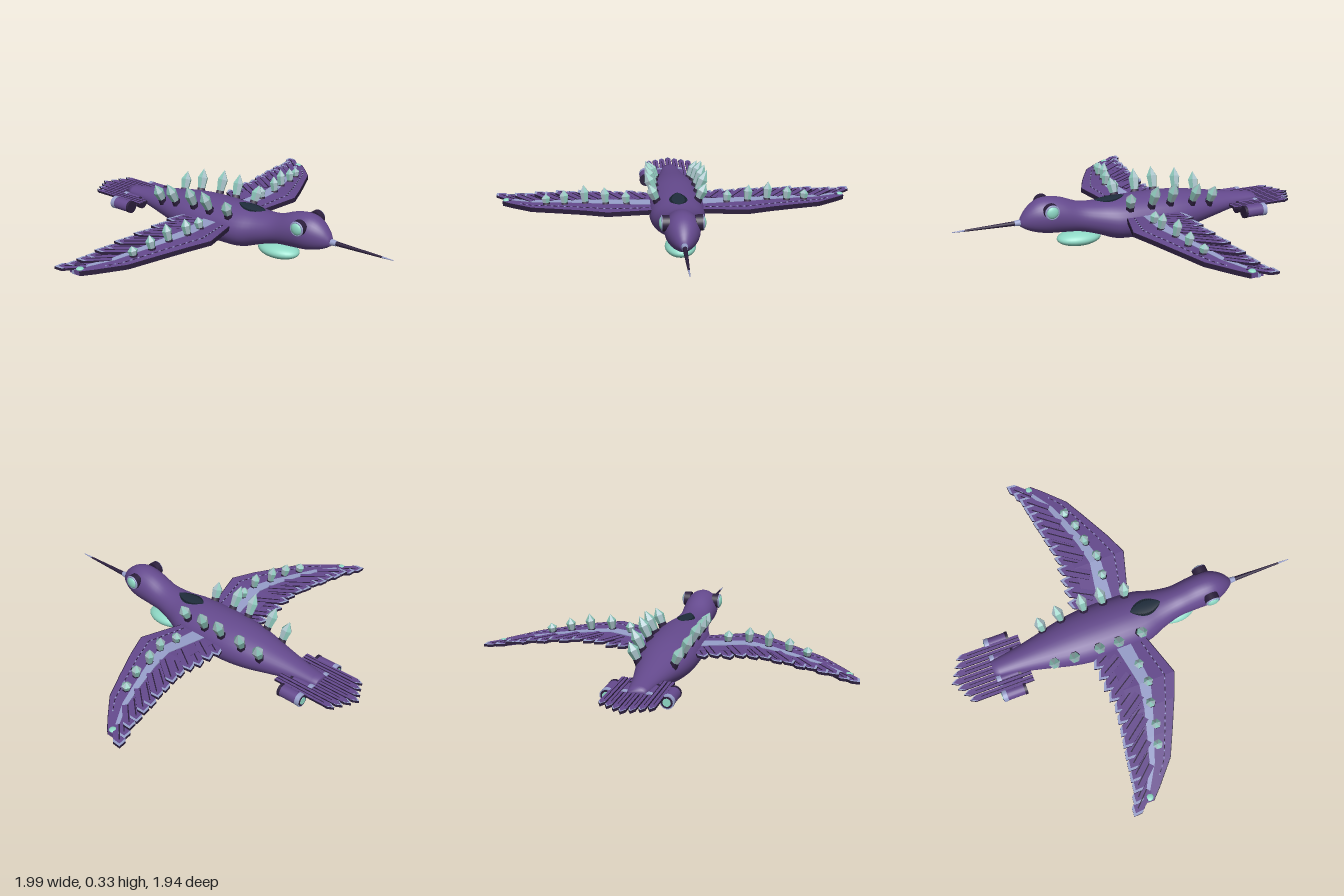
import * as THREE from 'three';

const mat = (name, color) => Object.assign(new THREE.MeshStandardMaterial({ color }), { name });
const purple = mat('purple plumage', 0x654a8e);
const lavender = mat('lavender trim', 0x98a0cc);
const mint = mat('mint glow', 0x8fd9c6);
const crystalMat = mat('teal crystal', 0x8cc6ba);
const paleCrystal = mat('pale crystal', 0xa6bfc6);
const dark = mat('dark violet', 0x2c1f3d);
const glass = mat('dark glass', 0x1f2d3c);
const UP = new THREE.Vector3(0, 1, 0);

// Body stations, beak end to tail: z, top, bottom, half width
const STATIONS = [
  [0.62, 0.19, 0.15, 0.018], [0.59, 0.235, 0.13, 0.045], [0.54, 0.275, 0.11, 0.073],
  [0.48, 0.29, 0.097, 0.089], [0.4, 0.279, 0.09, 0.088], [0.3, 0.242, 0.08, 0.086],
  [0.2, 0.232, 0.05, 0.108], [0.1, 0.236, 0.016, 0.143], [-0.03, 0.24, 0.01, 0.151],
  [-0.2, 0.236, 0.011, 0.15], [-0.33, 0.222, 0.026, 0.132], [-0.46, 0.2, 0.053, 0.1],
  [-0.6, 0.176, 0.084, 0.068], [-0.74, 0.156, 0.108, 0.045],
];
const heights = new THREE.CatmullRomCurve3(STATIONS.map(([z, a, b]) => new THREE.Vector3(z, a, b)), false, 'catmullrom');
const widths = new THREE.CatmullRomCurve3(STATIONS.map(([z, , , w]) => new THREE.Vector3(z, w, 0)), false, 'catmullrom');

// Elliptical body section at a given z
function section(z) {
  let lo = 0, hi = 1;
  for (let i = 0; i < 30; i++) {
    const mid = (lo + hi) / 2;
    if (heights.getPoint(mid).x > z) lo = mid; else hi = mid;
  }
  const h = heights.getPoint(lo);
  return { cy: (h.y + h.z) / 2, ry: (h.y - h.z) / 2, rx: widths.getPoint(lo).y };
}

// Skin closed rings of [x, y, z] points and cap both ends
function loft(rings, smooth, flip = false) {
  const n = rings[0].length, last = (rings.length - 1) * n, index = [];
  const tri = (a, b, c) => (flip ? index.push(a, c, b) : index.push(a, b, c));
  for (let i = 0; i < rings.length - 1; i++) {
    for (let k = 0; k < n; k++) {
      const a = i * n + k, b = i * n + ((k + 1) % n);
      tri(a, a + n, b);
      tri(b, a + n, b + n);
    }
  }
  for (let k = 1; k < n - 1; k++) {
    tri(0, k, k + 1);
    tri(last, last + k + 1, last + k);
  }
  let g = new THREE.BufferGeometry();
  g.setAttribute('position', new THREE.Float32BufferAttribute(rings.flat(2), 3));
  g.setIndex(index);
  if (!smooth) g = g.toNonIndexed();
  g.computeVertexNormals();
  return g;
}

function add(parent, name, geometry, material, x = 0, y = 0, z = 0) {
  const m = new THREE.Mesh(geometry, material);
  m.name = name;
  m.position.set(x, y, z);
  parent.add(m);
  return m;
}

// Flat outline lying in the xz plane, its second coordinate pointing backward
function plate(points, depth) {
  const shape = new THREE.Shape(points.map(([x, y]) => new THREE.Vector2(x, y)));
  return new THREE.ExtrudeGeometry(shape, { depth, bevelEnabled: false }).rotateX(-Math.PI / 2);
}

// Feather with dark cut edges, a thin pale chevron at the tip and a dark shaft
function feather(name, w, len, tip) {
  const g = new THREE.Group(), h = w / 2, s = len - tip, rim = w * 0.22;
  g.name = name;
  add(g, 'vane', plate([[-h, 0], [h, 0], [h, s], [0, len - 0.002], [-h, s]], 0.012), [purple, dark]);
  add(g, 'featherTip', plate([[-h, s - rim * 1.5], [0, len - rim * 1.5], [h, s - rim * 1.5], [h, s], [0, len], [-h, s]], 0.014), [lavender, dark], 0, -0.001);
  add(g, 'shaft', new THREE.BoxGeometry(w * 0.1, 0.015, s * 0.9), dark, 0, 0.006, -s * 0.45);
  return g;
}

// Six-sided crystal with alternating facets, growing from a dark socket
function crystal(name, base, dir, r, h, socket) {
  const g = new THREE.Group();
  g.name = name;
  const profile = [[0.6, 0], [1, 0.62], [0, 1]].map(([x, y]) => new THREE.Vector2(x * r, y * h));
  const geo = new THREE.LatheGeometry(profile, 6).toNonIndexed();
  geo.computeVertexNormals();
  const perFacet = geo.attributes.position.count / 6;
  for (let i = 0; i < 6; i++) geo.addGroup(i * perFacet, perFacet, i % 2);
  add(g, 'shard', geo, [crystalMat, paleCrystal]);
  add(g, 'socket', new THREE.CylinderGeometry(r * 0.75, r * 0.85, socket, 6), dark, 0, socket * 0.3);
  g.position.set(...base);
  g.quaternion.setFromUnitVectors(UP, new THREE.Vector3(...dir).normalize());
  return g;
}

// Wing stations: x, height, leading edge, stripe front, stripe rear, trailing edge
const WING = [
  [0.08, 0.145, 0.06, -0.015, -0.1, -0.16], [0.37, 0.165, 0.143, 0.01, -0.052, -0.14],
  [0.5, 0.16, 0.09, -0.027, -0.075, -0.15], [0.65, 0.147, 0.02, -0.08, -0.116, -0.175],
  [0.78, 0.134, -0.043, -0.127, -0.155, -0.205], [0.9, 0.122, -0.15, -0.2, -0.222, -0.25],
  [0.95, 0.117, -0.2, -0.235, -0.25, -0.265],
];
function wingAt(x, col) {
  let i = 0;
  while (i < WING.length - 2 && WING[i + 1][0] < x) i++;
  const a = WING[i], b = WING[i + 1];
  return THREE.MathUtils.lerp(a[col], b[col], (x - a[0]) / (b[0] - a[0]));
}

function wing(s) {
  const g = new THREE.Group();
  g.name = s > 0 ? 'leftWing' : 'rightWing';
  // Three spanwise bands, with a dark lip along the front edge
  const band = (name, front, rear, th, material) => add(g, name, loft(WING.map((w) => [
    [s * w[0], w[1] + th, front(w)], [s * w[0], w[1] + th, rear(w)],
    [s * w[0], w[1] - th, rear(w)], [s * w[0], w[1] - th, front(w)],
  ]), false, s < 0), material);
  band('frontLip', (w) => w[2] + 0.004, (w) => w[2], 0.012, dark);
  band('leadingPanel', (w) => w[2], (w) => w[3], 0.012, purple);
  band('trimStripe', (w) => w[3], (w) => w[4], 0.014, lavender);
  band('covertPanel', (w) => w[4], (w) => w[5], 0.01, purple);
  // Flight feathers fanning outward
  for (let i = 0; i < 14; i++) {
    const u = i / 13, x = 0.13 + 0.758 * u;
    const f = feather('flightFeather', 0.058, 0.152 + 0.045 * Math.sin(Math.PI * u), 0.034);
    f.position.set(s * x, wingAt(x, 1) - 0.004 + (i % 2) * 0.006, wingAt(x, 4) - 0.018 * (1 - u));
    f.rotation.y = -s * (0.5 + 0.28 * u);
    g.add(f);
  }
  // Seam dashes and small rivets behind the front edge
  for (let i = 0; i < 20; i++) {
    const x = 0.16 + i * 0.035;
    const z = (d) => wingAt(d, 2) * 0.6 + wingAt(d, 3) * 0.4;
    const m = add(g, 'seamDash', new THREE.BoxGeometry(0.018, 0.004, 0.004), dark, s * x, wingAt(x, 1) + 0.012, z(x));
    m.rotation.y = -s * Math.atan2(z(x + 0.01) - z(x - 0.01), 0.02);
    add(g, 'rivet', new THREE.BoxGeometry(0.007, 0.005, 0.006), lavender, s * (x + 0.0175), wingAt(x + 0.0175, 1) + 0.012, z(x + 0.0175));
  }
  // Crystals along the stripe
  for (const [x, z, h] of [[0.27, -0.01, 0.07], [0.38, 0, 0.092], [0.49, -0.03, 0.1], [0.6, -0.045, 0.08], [0.7, -0.075, 0.058]]) {
    g.add(crystal('wingCrystal', [s * x, wingAt(x, 1) + 0.008, z], [s * 0.08, 1, -0.15], 0.026, h, 0.014));
  }
  const lamp = add(g, 'wingtipLamp', new THREE.SphereGeometry(0.02, 16, 10), mint, s * 0.93, 0.132, -0.215);
  lamp.scale.y = 0.4;
  return g;
}

export function createModel() {
  const model = new THREE.Group();
  model.name = 'mechanicalBird';

  // Body and head in one smooth skin
  const rings = [];
  for (let i = 0; i <= 56; i++) {
    const z = 0.62 - 1.36 * Math.pow(i / 56, 1.25), { cy, ry, rx } = section(z);
    rings.push(Array.from({ length: 32 }, (_, k) => {
      const a = (k / 32) * Math.PI * 2;
      return [rx * Math.cos(a), cy + ry * Math.sin(a), z];
    }));
  }
  add(model, 'body', loft(rings, true), purple);

  // Canopy hugging the back
  const canopy = [];
  for (let i = 0; i <= 16; i++) {
    const u = i / 16, z = 0.212 - 0.172 * u, { cy, ry, rx } = section(z);
    const w = 0.001 + 0.047 * Math.pow(Math.sin(Math.PI * u), 0.8);
    canopy.push([3, 2, 1, 0, -1, -2, -3].map((j) => {
      const x = (w * j) / 3;
      return [x, cy + ry * Math.sqrt(1 - (x / rx) ** 2) + 0.005, z];
    }));
  }
  add(model, 'canopy', loft(canopy, true), glass);

  // Beak: collar, dark needle, pale tip
  const beak = (name, z0, z1, r0, r1, m) =>
    add(model, name, new THREE.CylinderGeometry(r1, r0, z1 - z0, 16).rotateX(Math.PI / 2), m, 0, 0.17, (z0 + z1) / 2);
  beak('beakCollar', 0.6, 0.65, 0.019, 0.014, lavender);
  beak('beak', 0.65, 0.91, 0.012, 0.005, dark);
  beak('beakTip', 0.91, 0.972, 0.005, 0.002, lavender);

  const belly = add(model, 'throatDome', new THREE.SphereGeometry(1, 32, 20), mint, 0, 0.043, 0.3);
  belly.scale.set(0.08, 0.041, 0.121);

  for (const s of [1, -1]) {
    // Eye: dark housing, pale rim, glowing lens
    add(model, 'eyeHousing', new THREE.CylinderGeometry(0.04, 0.04, 0.036, 28).rotateZ(Math.PI / 2), dark, s * 0.082, 0.237, 0.475);
    const rim = add(model, 'eyeRim', new THREE.TorusGeometry(0.034, 0.006, 10, 28), lavender, s * 0.1, 0.237, 0.475);
    rim.rotation.y = Math.PI / 2;
    const eye = add(model, 'eye', new THREE.SphereGeometry(0.033, 24, 16), mint, s * 0.1, 0.237, 0.475);
    eye.scale.x = 0.5;

    model.add(wing(s));

    // Back crystals: z, base height, length, lean along z
    for (const [z, y, h, lean] of [[0.05, 0.195, 0.115, 0.1], [-0.07, 0.195, 0.145, -0.1], [-0.18, 0.195, 0.145, -0.05], [-0.31, 0.18, 0.14, -0.15], [-0.42, 0.16, 0.125, -0.12]]) {
      const { cy, ry, rx } = section(z);
      const x = rx * Math.sqrt(1 - ((y - cy) / ry) ** 2) - 0.012;
      model.add(crystal('backCrystal', [s * x, y, z], [s * 0.45, 1, lean], 0.03, h, 0.035));
    }

    // Twin thrusters under each side of the tail
    for (const x of [0.15, 0.06]) {
      const t = new THREE.Group();
      t.name = 'thruster';
      t.position.set(s * x, 0.102, 0);
      const tube = (name, z, len, r, m) => add(t, name, new THREE.CylinderGeometry(r, r, len, 20).rotateX(Math.PI / 2), m, 0, 0, z);
      tube('casing', -0.67, 0.11, 0.033, purple);
      tube('frontBand', -0.613, 0.015, 0.035, dark);
      tube('rearBand', -0.727, 0.024, 0.035, lavender);
      tube('nozzleRim', -0.739, 0.004, 0.029, dark);
      tube('nozzleGlow', -0.742, 0.004, 0.02, mint);
      model.add(t);
    }
  }

  // Tail feathers, longest in the middle
  for (let i = -3; i <= 3; i++) {
    const f = feather('tailFeather', 0.033, 0.415 - Math.abs(i) * 0.021, 0.03);
    f.position.set(i * 0.04, 0.12, -0.555);
    model.add(f);
  }
  return model;
}
